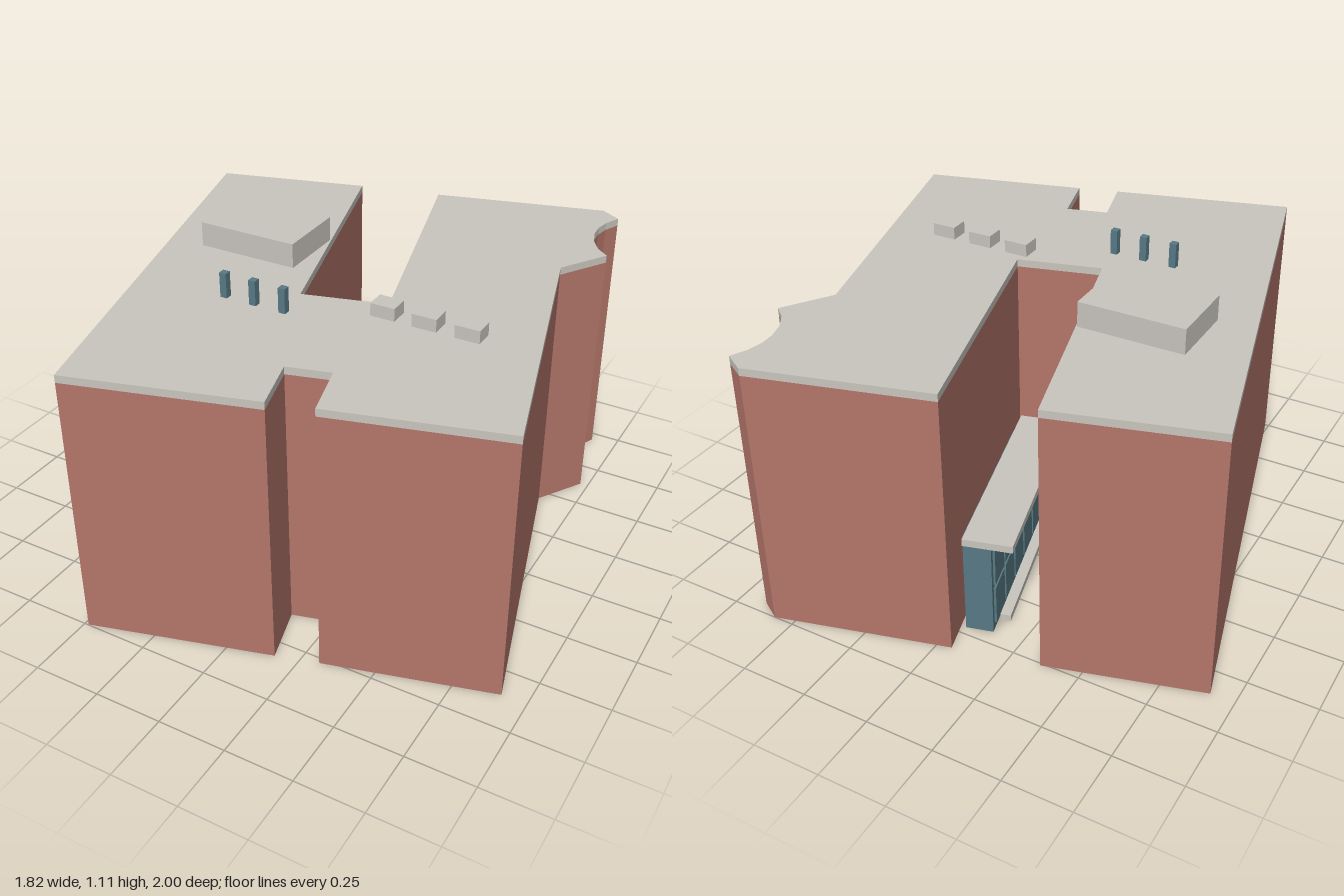
import * as THREE from 'three';

const material = (name, color) => {
  const m = new THREE.MeshStandardMaterial({ color });
  m.name = name;
  return m;
};

export function createModel() {
  const model = new THREE.Group();
  model.name = 'building';
  const brick = material('brick', 0xb4766a);
  const concrete = material('concrete', 0xc9c5be);
  const glass = material('glass', 0x587a86);

  // Box given by its limits on each axis
  const box = (parent, name, mat, [x0, x1], [y0, y1], [z0, z1]) => {
    const mesh = new THREE.Mesh(new THREE.BoxGeometry(x1 - x0, y1 - y0, z1 - z0), mat);
    mesh.position.set((x0 + x1) / 2, (y0 + y1) / 2, (z0 + z1) / 2);
    mesh.name = name;
    parent.add(mesh);
  };

  // Plan outline (x, z): two wings, courtyard slot, entrance notch, concave corner
  const plan = [
    [-0.485, 0.998], [0.165, 0.815], [0.108, 0.61], [0.26, 0.568], [0.315, 0.772],
    [0.91, 0.61], [0.61, -0.455], [0.72, -0.628],
    [0.673, -0.667], [0.637, -0.722], [0.617, -0.785], [0.613, -0.84], [0.623, -0.895],
    [0.65, -0.955], [0.575, -1], [-0.053, -0.83], [0.203, 0.085], [-0.097, 0.167],
    [-0.36, -0.76], [-0.913, -0.605],
  ];
  const shape = new THREE.Shape(plan.map(([x, z]) => new THREE.Vector2(x, -z)));
  const slab = (name, mat, y0, y1) => {
    const geo = new THREE.ExtrudeGeometry(shape, { depth: y1 - y0, bevelEnabled: false });
    geo.rotateX(-Math.PI / 2);
    const mesh = new THREE.Mesh(geo, mat);
    mesh.position.y = y0;
    mesh.name = name;
    model.add(mesh);
  };
  slab('brickWalls', brick, 0, 0.99);
  slab('roofSlab', concrete, 0.99, 1.018);

  // Rooftop plant room, vents and flues
  box(model, 'plantRoom', concrete, [-0.608, -0.222], [1.018, 1.11], [-0.255, 0.01]);
  for (const x of [0.23, 0.383, 0.538]) {
    box(model, 'roofVent', concrete, [x - 0.045, x + 0.045], [1.018, 1.065], [0.117, 0.187]);
  }
  for (const x of [-0.312, -0.196, -0.08]) {
    box(model, 'flue', glass, [x - 0.013, x + 0.013], [1.018, 1.11], [0.292, 0.318]);
  }

  // Low glazed pavilion standing in the courtyard
  const pavilion = new THREE.Group();
  pavilion.name = 'courtyardPavilion';
  pavilion.position.set(-0.034, 0, -0.341);
  pavilion.rotation.y = 0.27;
  model.add(pavilion);
  box(pavilion, 'pavilionBody', glass, [-0.012, 0.086], [0.02, 0.378], [-0.388, 0.388]);
  box(pavilion, 'pavilionRoof', concrete, [-0.088, 0.088], [0.378, 0.405], [-0.39, 0.39]);
  box(pavilion, 'terrace', concrete, [-0.05, -0.012], [0, 0.025], [-0.3, 0.33]);
  box(pavilion, 'sideGlazing', glass, [0.086, 0.104], [0.04, 0.37], [-0.33, 0.33]);
  // Window panes under the canopy
  for (let i = 0; i < 6; i++) {
    const z = -0.315 + i * 0.126;
    for (const y of [0.05, 0.215]) {
      box(pavilion, 'windowPane', glass, [-0.02, -0.012], [y, y + 0.15], [z - 0.055, z + 0.055]);
    }
  }
  return model;
}
